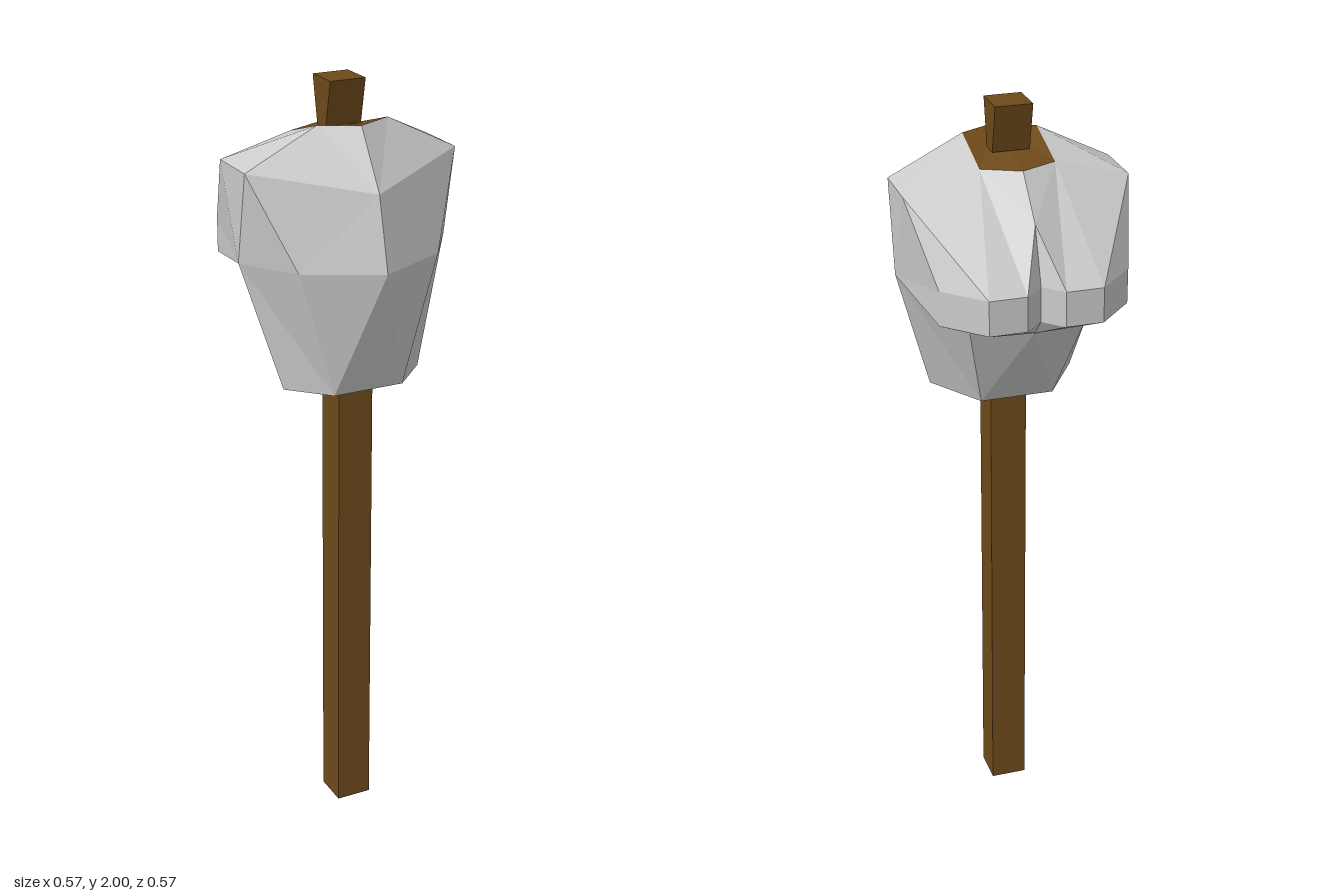
import * as THREE from 'three';

// Corners of the +x half of the lump; the other half is mirrored.
const P = {
  // top rim
  t0: [0, 1.905, 0.143], t1: [0.095, 1.905, 0.095], t2: [0.095, 1.86, -0.05], t3: [0, 1.86, -0.095],
  // shoulder and front
  a1: [0.285, 1.81, 0.095], a2: [0.285, 1.81, -0.05], c: [0, 1.76, 0.238],
  f0: [0, 1.575, 0.285], f1: [0.19, 1.575, 0.19], s: [0.285, 1.575, 0.048],
  // back lobe, upper and lower edge, with the cleft on the centre line
  n: [0, 1.76, -0.19],
  l: [0.238, 1.62, -0.19], p: [0.143, 1.62, -0.285], q: [0.048, 1.62, -0.285], m: [0, 1.62, -0.238],
  L: [0.238, 1.53, -0.19], R: [0.143, 1.53, -0.285], Q: [0.048, 1.53, -0.285], M: [0, 1.53, -0.238],
  // wall under the lobes
  w: [0.15, 1.48, -0.143], w0: [0, 1.48, -0.19],
  // base
  b0: [0, 1.245, 0.19], b1: [0.095, 1.245, 0.19], b2: [0.19, 1.245, 0.095],
  b3: [0.095, 1.245, -0.05], b4: [0, 1.245, -0.05],
};

const LUMP = [
  't0 t1 c', 't1 a1 c', 'a1 f1 c', 'c f1 f0', 'a1 s f1',          // front
  't1 t2 a2 a1', 'a1 a2 s', 'a2 l s', 'l L s',                    // shoulder and side
  't2 t3 n', 't2 n q p', 't2 p a2', 'a2 p l', 'n m q',            // back
  'l p R L', 'p q Q R', 'q m M Q',                                // lobe rim
  'w0 M Q', 'w0 Q R', 'w0 R w', 'w R L', 'w L s',                 // lobe underside
  'f0 b1 b0', 'f0 f1 b1', 'f1 s b1', 's b2 b1',                   // lower front
  's w b3', 's b3 b2', 'w w0 b3', 'w0 b4 b3',                     // lower side and back
  'b0 b1 b2', 'b0 b2 b3', 'b0 b3 b4',                             // base
];
const CAP = ['t0 t1 t2', 't0 t2 t3'];

// Fans each face into triangles, turns them away from the centre and mirrors them.
function mirroredShell(faces) {
  const centre = new THREE.Vector3(0, 1.6, 0.03);
  const out = [];
  for (const face of faces) {
    const pts = face.split(' ').map((k) => P[k]);
    for (let i = 1; i < pts.length - 1; i++) {
      for (const side of [1, -1]) {
        const [a, b, c] = [pts[0], pts[i], pts[i + 1]].map(([x, y, z]) => new THREE.Vector3(x * side, y, z));
        const normal = b.clone().sub(a).cross(c.clone().sub(a));
        const outward = normal.dot(a.clone().sub(centre)) > 0;
        for (const v of outward ? [a, b, c] : [a, c, b]) out.push(v.x, v.y, v.z);
      }
    }
  }
  const geo = new THREE.BufferGeometry();
  geo.setAttribute('position', new THREE.Float32BufferAttribute(out, 3));
  geo.computeVertexNormals();
  return geo;
}

export function createModel() {
  const group = new THREE.Group();
  const grey = new THREE.MeshStandardMaterial({ color: 0xcccccc, flatShading: true });
  const brown = new THREE.MeshStandardMaterial({ color: 0x6e4a1a, flatShading: true });
  const add = (name, geo, mat) => {
    const mesh = new THREE.Mesh(geo, mat);
    mesh.name = name;
    group.add(mesh);
  };

  add('head', mirroredShell(LUMP), grey);
  add('headTop', mirroredShell(CAP), brown);

  // handle
  const handle = new THREE.BoxGeometry(0.095, 1.25, 0.095);
  handle.translate(0, 0.625, 0.071);
  add('handle', handle, brown);

  // tip, narrowing downward from front to back
  const tip = new THREE.BoxGeometry(0.095, 0.12, 0.095);
  const pos = tip.attributes.position;
  for (let i = 0; i < pos.count; i++) if (pos.getY(i) < 0) pos.setZ(i, pos.getZ(i) * 0.48);
  tip.translate(0, 1.94, 0.023);
  tip.computeVertexNormals();
  add('handleTip', tip, brown);

  return group;
}
